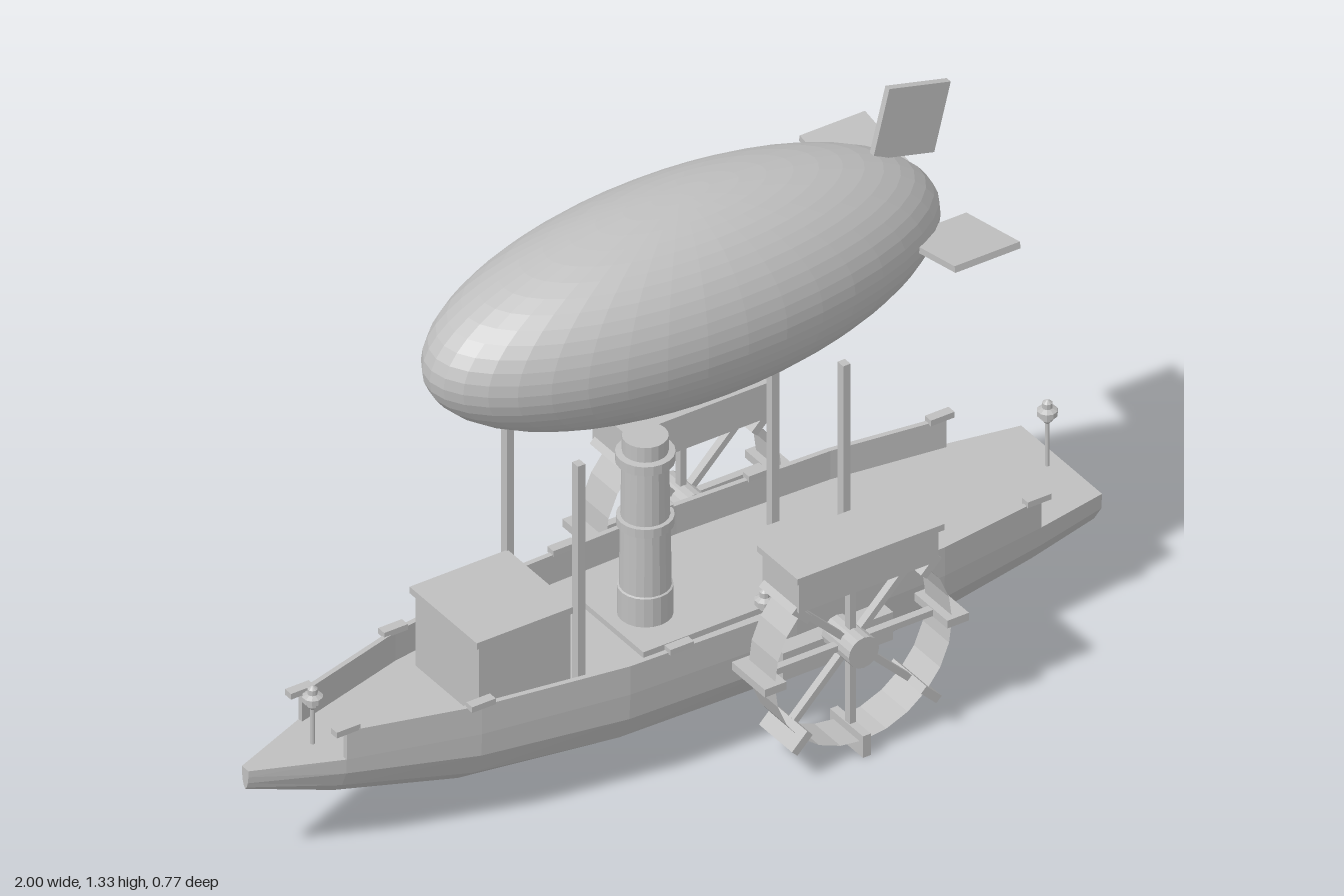
import * as THREE from 'three';

const grey = new THREE.MeshStandardMaterial({ color: 0xbfbfbf, flatShading: true });
grey.name = 'plain grey';
const greyThin = grey.clone();
greyThin.name = 'plain grey two sided';
greyThin.side = THREE.DoubleSide;

function add(parent, name, geometry, x = 0, y = 0, z = 0, material = grey) {
  const mesh = new THREE.Mesh(geometry, material);
  mesh.name = name;
  mesh.position.set(x, y, z);
  parent.add(mesh);
  return mesh;
}
const box = (w, h, d) => new THREE.BoxGeometry(w, h, d);

// Closed skin over sections along x; each section runs from high z, down, to low z
function loft(sections) {
  const pos = [];
  const tri = (a, b, c) => pos.push(...a, ...b, ...c);
  const n = sections[0].length;
  for (let s = 0; s < sections.length - 1; s++) {
    for (let i = 0; i < n; i++) {
      const j = (i + 1) % n, A = sections[s], B = sections[s + 1];
      tri(A[i], A[j], B[i]);
      tri(B[i], A[j], B[j]);
    }
  }
  const bow = sections[0], stern = sections[sections.length - 1];
  for (let i = 1; i < n - 1; i++) {
    tri(stern[0], stern[i], stern[i + 1]);
    tri(bow[0], bow[i + 1], bow[i]);
  }
  const g = new THREE.BufferGeometry();
  g.setAttribute('position', new THREE.Float32BufferAttribute(pos, 3));
  g.computeVertexNormals();
  return g;
}

const DECK = 0.25, RAIL = 0.32;
// x, half width, keel height
const STATIONS = [
  [-1, 0.012, 0.2], [-0.81, 0.088, 0.132], [-0.53, 0.165, 0.066], [-0.2, 0.215, 0.04],
  [0.2, 0.226, 0.04], [0.57, 0.215, 0.057], [0.83, 0.18, 0.095], [1, 0.148, 0.125],
];
// Half of the hull section: share of width, share of depth
const SECTION = [[1, 0], [0.98, 0.3], [0.8, 0.62], [0.45, 0.87], [0, 1]];

function halfWidth(x) {
  const k = Math.max(1, STATIONS.findIndex((s) => s[0] >= x));
  const [a, b] = [STATIONS[k - 1], STATIONS[k]];
  return a[1] + (b[1] - a[1]) * (x - a[0]) / (b[0] - a[0]);
}

// Signal lamp on a thin post; y is the underside of the lamp head
function lamp(parent, x, base, y, z) {
  const h = y - base;
  const pts = [[0, 0], [0.005, 0], [0.005, h], [0.012, h + 0.008], [0.012, h + 0.016], [0.022, h + 0.02],
    [0.022, h + 0.032], [0.011, h + 0.038], [0.011, h + 0.05], [0, h + 0.058]];
  add(parent, 'lamp', new THREE.LatheGeometry(pts.map((p) => new THREE.Vector2(...p)), 10), x, base, z);
}

function paddleWheel(side) {
  const g = new THREE.Group();
  g.name = side > 0 ? 'leftPaddleWheel' : 'rightPaddleWheel';
  g.position.set(0.275, 0.255, side * 0.31);
  const round = (name, r, len, sides, open, mat) =>
    add(g, name, new THREE.CylinderGeometry(r, r, len, sides, 1, open).rotateX(Math.PI / 2), 0, 0, 0, mat);
  round('wheelRim', 0.217, 0.096, 24, true, greyThin);
  round('wheelHub', 0.037, 0.1, 16, false, grey);
  for (let i = 0; i < 8; i++) {
    const arm = new THREE.Group();
    arm.name = 'paddleArm';
    arm.rotation.z = i * Math.PI / 4;
    add(arm, 'spoke', box(0.2, 0.015, 0.018), 0.12);
    add(arm, 'paddle', box(0.053, 0.019, 0.121), 0.2235);
    g.add(arm);
  }
  return g;
}

export function createModel() {
  const model = new THREE.Group();
  model.name = 'paddleAirship';

  // Hull with flat deck and transom
  add(model, 'hull', loft(STATIONS.map(([x, w, keel]) => {
    const half = SECTION.map(([a, d]) => [x, DECK - d * (DECK - keel), a * w]);
    const other = half.slice(0, -1).reverse().map(([px, y, z]) => [px, y, -z]);
    return [...half, ...other];
  })));

  for (const side of [1, -1]) {
    // Bulwark along the deck edge
    add(model, 'bulwark', loft(STATIONS.slice(1, -1).map(([x, w]) => {
      const hi = side > 0 ? w : -w + 0.012, lo = hi - 0.012;
      return [[x, RAIL, hi], [x, DECK, hi], [x, DECK, lo], [x, RAIL, lo]];
    })));
    // Cleats on the rail
    for (const x of [-0.81, -0.53, -0.08, 0.4, 0.82]) {
      add(model, 'cleat', box(0.058, 0.014, 0.022), x, RAIL + 0.004, side * (halfWidth(x) - 0.004));
    }
    lamp(model, 0.125, RAIL, 0.335, side * 0.221);

    // Masts carrying the balloon
    for (const x of [-0.27, 0.38]) {
      add(model, 'mast', box(0.018, 0.55, 0.021), x, 0.525, side * 0.13);
    }

    // Paddle wheel, its bearing block and cover
    model.add(paddleWheel(side));
    add(model, 'wheelBearing', box(0.27, 0.068, 0.07), 0.275, 0.216, side * 0.23);
    add(model, 'wheelCover', box(0.342, 0.08, 0.134), 0.275, 0.467, side * 0.311);
    add(model, 'wheelCoverLid', box(0.36, 0.015, 0.148), 0.275, 0.511, side * 0.311);

    // Level tail fin
    const fin = add(model, 'sideFin', box(0.16, 0.015, 0.2), 0.628, 1.034, side * 0.187);
    fin.rotation.x = -side * 0.2;
  }
  lamp(model, -0.835, DECK, 0.335, 0);
  lamp(model, 0.965, DECK, 0.355, 0);

  // Cabin and low hatch
  add(model, 'cabin', box(0.225, 0.18, 0.232), -0.393, 0.34, 0);
  add(model, 'cabinRoof', box(0.24, 0.016, 0.246), -0.395, 0.436, 0);
  add(model, 'deckHatch', box(0.55, 0.014, 0.24), 0.17, 0.257, 0);

  // Funnel with bands
  const funnel = [[0, 0.25], [0.058, 0.25], [0.058, 0.333], [0.054, 0.335], [0.052, 0.484], [0.06, 0.485],
    [0.06, 0.506], [0.051, 0.507], [0.049, 0.638], [0.062, 0.64], [0.062, 0.662], [0.048, 0.664],
    [0.048, 0.7], [0, 0.7]].map((p) => new THREE.Vector2(...p));
  add(model, 'funnel', new THREE.LatheGeometry(funnel, 20), -0.02, 0, 0);
  add(model, 'whistle', box(0.02, 0.07, 0.02), 0.033, 0.475, 0);

  // Balloon and upright fin
  add(model, 'balloon', new THREE.SphereGeometry(1, 40, 28).scale(0.615, 0.231, 0.25), 0.067, 1.032, 0);
  const fin = add(model, 'topFin', box(0.155, 0.164, 0.015), 0.628, 1.233, 0);
  fin.rotation.z = -0.25;

  return model;
}
